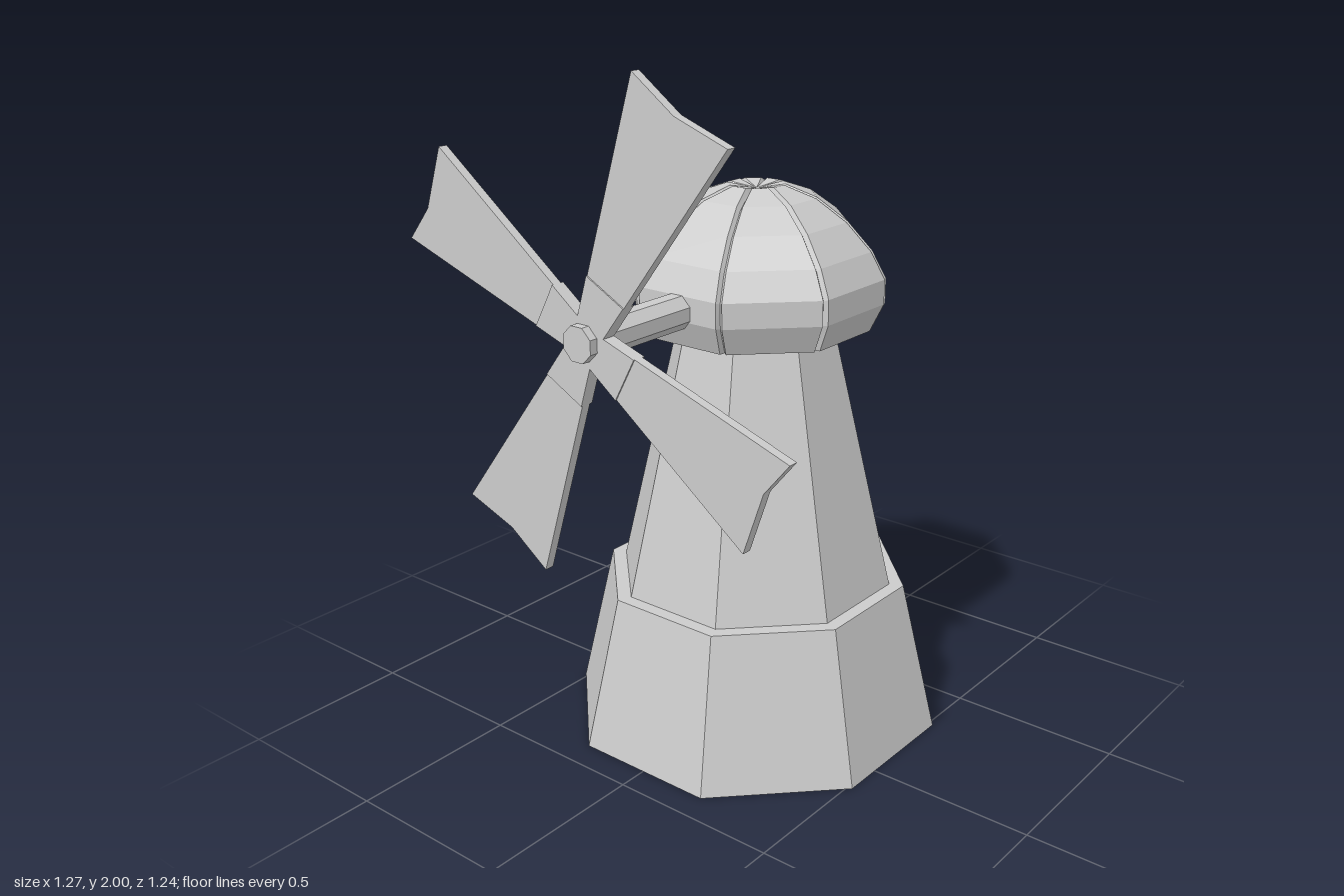
import * as THREE from 'three';

const material = new THREE.MeshStandardMaterial({ color: 0xcccccc, flatShading: true });
const TOWER_Z = -0.1, HUB_Y = 1.325, SAIL_Z = 0.578;
const HALF = Math.PI / 8;

function add(parent, name, geometry, x = 0, y = 0, z = 0) {
  const mesh = new THREE.Mesh(geometry, material);
  mesh.name = name;
  mesh.position.set(x, y, z);
  parent.add(mesh);
  return mesh;
}

// Tapered octagonal drum with flats facing the axes; sizes are centre-to-flat
function octagon(top, bottom, height) {
  const k = 1 / Math.cos(HALF);
  return new THREE.CylinderGeometry(top * k, bottom * k, height, 8).rotateY(HALF);
}

// Eight-panelled dome with a narrow groove between neighbouring panels
function domeGeometry() {
  const profile = [[0.307, 1.22], [0.342, 1.3], [0.342, 1.37], [0.305, 1.445],
    [0.24, 1.522], [0.16, 1.583], [0.077, 1.615]];
  const last = profile.length - 1, n = 24;
  const pos = [], index = [];
  profile.forEach(([a, y], i) => {
    const t = i / last;
    const halfWidth = a * Math.tan(HALF) - 0.009;
    for (let k = 0; k < 8; k++) {
      const m = k * 2 * HALF, s = Math.sin(m), c = Math.cos(m);
      for (const w of [-halfWidth, halfWidth]) pos.push(a * s + w * c, y, a * c - w * s);
      const r = a / Math.cos(HALF) - 0.02 * (1 - t * 0.7);
      pos.push(r * Math.sin(m + HALF), y - 0.015 * t, r * Math.cos(m + HALF));
    }
  });
  const bottom = pos.length / 3, top = bottom + 1;
  pos.push(0, 1.22, 0, 0, 1.602, 0);
  for (let j = 0; j < n; j++) {
    const q = (j + 1) % n;
    for (let i = 0; i < last; i++) {
      const a = i * n + j, b = i * n + q;
      index.push(a, b, b + n, a, b + n, a + n);
    }
    index.push(bottom, q, j, top, last * n + j, last * n + q);
  }
  const g = new THREE.BufferGeometry();
  g.setAttribute('position', new THREE.Float32BufferAttribute(pos, 3));
  g.setIndex(index);
  g.computeVertexNormals();
  return g;
}

// Outline of the four-armed rotor; reach < 1 cuts the arms short
function rotorGeometry(reach, depth) {
  const rootA = [-0.018, 0.066], rootB = [0.067, 0.021], rootC = [0.018, -0.066];
  const arms = [
    [rootA, [0.175, 0.675], [0.3, 0.585], [0.455, 0.528], rootB],
    [rootB, [0.635, -0.17], [0.56, -0.26], [0.5, -0.43], rootC],
  ];
  const points = [];
  for (const sign of [1, -1]) {
    for (const [r0, p, mid, q, r1] of arms) {
      const at = (r, e) => new THREE.Vector2(...r).lerp(new THREE.Vector2(...e), reach).multiplyScalar(sign);
      points.push(new THREE.Vector2(...r0).multiplyScalar(sign), at(r0, p));
      if (reach === 1) points.push(new THREE.Vector2(...mid).multiplyScalar(sign));
      points.push(at(r1, q));
    }
  }
  return new THREE.ExtrudeGeometry(new THREE.Shape(points), { depth, bevelEnabled: false })
    .translate(0, 0, -depth / 2);
}

export function createModel() {
  const model = new THREE.Group();
  model.name = 'windmill';

  // Tower
  add(model, 'base', octagon(0.417, 0.515, 0.45), 0, 0.225, TOWER_Z);
  add(model, 'tower', octagon(0.208, 0.378, 0.78), 0, 0.84, TOWER_Z);
  add(model, 'dome', domeGeometry(), 0, 0, TOWER_Z);

  // Rotor
  const rotor = new THREE.Group();
  rotor.name = 'rotor';
  rotor.position.set(0, HUB_Y, 0);
  model.add(rotor);
  add(rotor, 'shaft', octagon(0.046, 0.046, 0.62).rotateX(Math.PI / 2), 0, 0, 0.31);
  add(rotor, 'sails', rotorGeometry(1, 0.027), 0, 0, SAIL_Z);
  add(rotor, 'sailRoots', rotorGeometry(0.175, 0.039), 0, 0, SAIL_Z - 0.002);

  return model;
}
